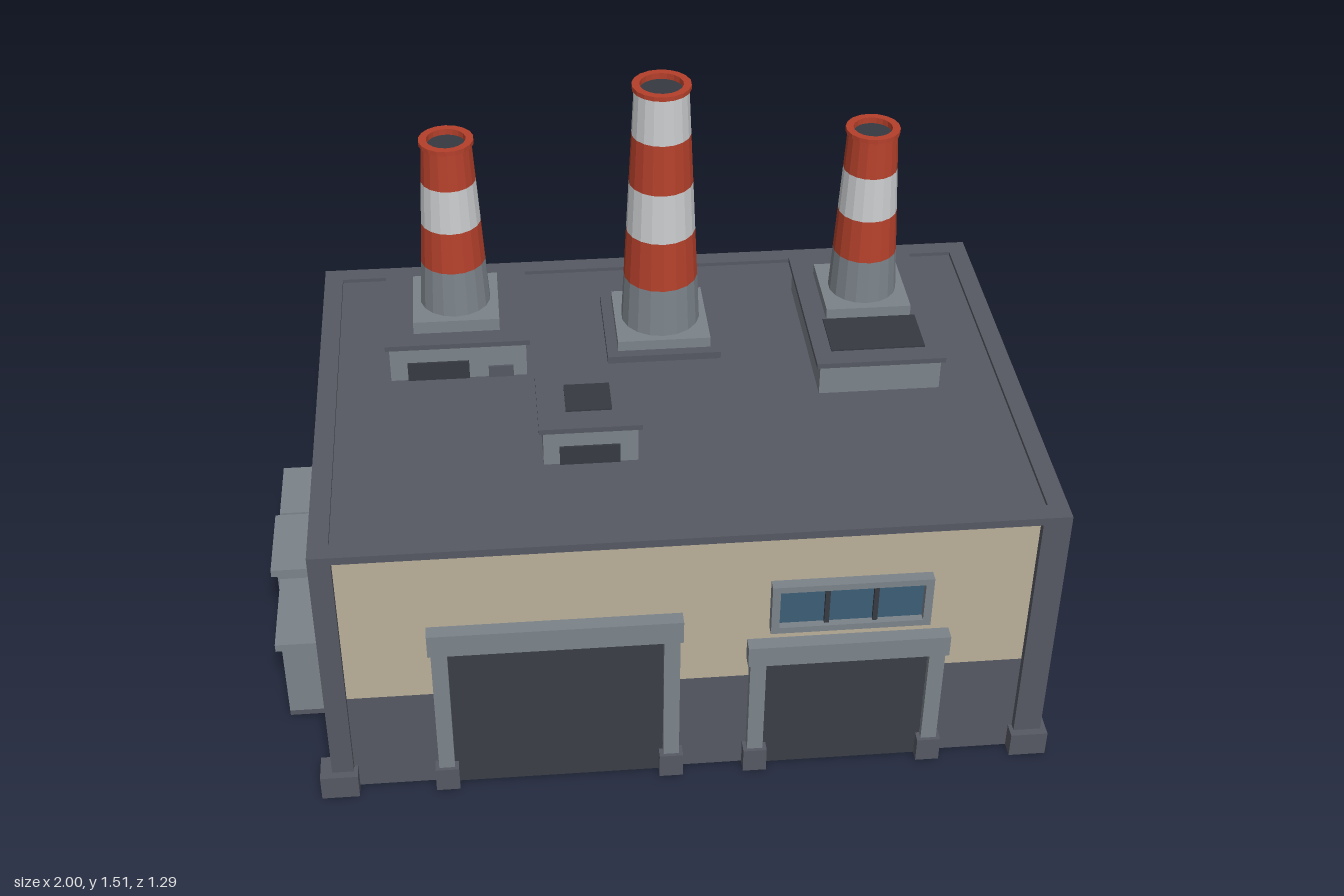
import * as THREE from 'three';

const mat = (name, color, extra = {}) => {
  const m = new THREE.MeshStandardMaterial({ color, ...extra });
  m.name = name;
  return m;
};

export function createModel() {
  const slate = mat('slate', 0x565963);
  const tan = mat('tan', 0xbbaf9a);
  const grey = mat('grey', 0x7b838a, { flatShading: true, side: THREE.DoubleSide });
  const charcoal = mat('charcoal', 0x363a41);
  const red = mat('red', 0xb4402b, { flatShading: true });
  const white = mat('white', 0xc9cbcd, { flatShading: true });
  const glass = mat('glass', 0x3c5d75);

  const root = new THREE.Group();
  root.name = 'factory';
  const group = (name) => {
    const g = new THREE.Group();
    g.name = name;
    root.add(g);
    return g;
  };
  const add = (parent, name, geo, m) => {
    const mesh = new THREE.Mesh(geo, m);
    mesh.name = name;
    parent.add(mesh);
    return mesh;
  };
  // Box given by its lower and upper limits on each axis
  const box = (parent, name, m, x0, x1, y0, y1, z0, z1) => {
    const mesh = add(parent, name, new THREE.BoxGeometry(x1 - x0, y1 - y0, z1 - z0), m);
    mesh.position.set((x0 + x1) / 2, (y0 + y1) / 2, (z0 + z1) / 2);
    return mesh;
  };

  // Walls in two colours
  const hall = group('hall');
  box(hall, 'lowerWall', slate, -0.815, 0.965, 0, 0.303, -0.605, 0.605);
  box(hall, 'upperWall', tan, -0.815, 0.965, 0.303, 0.757, -0.605, 0.605);

  // Roof with a shallow raised rim
  box(hall, 'roof', slate, -0.8, 0.95, 0.75, 0.766, -0.59, 0.59);
  for (const s of [-1, 1]) {
    const [z0, z1] = s > 0 ? [0.575, 0.625] : [-0.625, -0.575];
    box(hall, 'roofRim', slate, -0.835, 0.985, 0.755, 0.776, z0, z1);
  }
  box(hall, 'roofRim', slate, -0.835, -0.785, 0.755, 0.776, -0.575, 0.575);
  box(hall, 'roofRim', slate, 0.935, 0.985, 0.755, 0.776, -0.575, 0.575);

  // Pillars with footings
  const pillar = (x0, x1, f0, f1, s) => {
    const span = (a, b) => (s > 0 ? [a, b] : [-b, -a]);
    box(hall, 'pillar', slate, x0, x1, 0, 0.757, ...span(0.583, 0.625));
    box(hall, 'pillarFooting', slate, f0, f1, 0, 0.07, ...span(0.57, 0.645));
  };
  for (const s of [-1, 1]) {
    pillar(-0.835, -0.78, -0.865, -0.77, s);
    pillar(0.915, 0.985, 0.905, 1.0, s);
  }
  pillar(0.05, 0.105, 0.03, 0.125, -1);

  // Roller doors with slats and a frame
  const door = (x0, x1, top, head) => {
    const g = group('rollerDoor');
    box(g, 'doorPanel', charcoal, x0, x1, 0, top, 0.6, 0.608);
    const n = Math.round(top / 0.042), step = top / n;
    for (let i = 0; i < n; i++) {
      const slat = box(g, 'doorSlat', charcoal, x0, x1, i * step + 0.003, (i + 1) * step - 0.003, 0.607, 0.613);
      slat.rotation.x = -0.16;
    }
    box(g, 'doorHeader', grey, x0 - 0.047, x1 + 0.047, top, head, 0.6, 0.642);
    for (const [a, b] of [[x0 - 0.04, x0], [x1, x1 + 0.04]]) {
      box(g, 'doorPost', grey, a, b, 0, top, 0.6, 0.632);
      box(g, 'doorPostFooting', slate, a - 0.01, b + 0.01, 0, 0.07, 0.6, 0.641);
    }
  };
  door(-0.525, 0.005, 0.46, 0.525);
  door(0.26, 0.67, 0.365, 0.425);

  // Windows, built facing +z at the origin
  const windowUnit = (x, y, z, turn) => {
    const g = group('window');
    for (const s of [-1, 1]) {
      box(g, 'windowRail', grey, -0.198, 0.198, s * 0.065 - 0.009, s * 0.065 + 0.009, 0, 0.028);
      box(g, 'windowSide', grey, s * 0.188 - 0.01, s * 0.188 + 0.01, -0.056, 0.056, 0, 0.028);
      box(g, 'windowBar', charcoal, s * 0.06 - 0.006, s * 0.06 + 0.006, -0.056, 0.056, 0, 0.018);
    }
    box(g, 'windowGlass', glass, -0.178, 0.178, -0.056, 0.056, 0, 0.009);
    g.position.set(x, y, z);
    g.rotation.y = turn;
  };
  windowUnit(0.465, 0.537, 0.605, 0);
  windowUnit(0.965, 0.537, 0, Math.PI / 2);

  // Outdoor bins, open underneath
  const bin = (x0, z0, z1, top) => {
    const g = group('bin');
    const body = box(g, 'binBody', grey, x0 + 0.015, -0.815, 0.015, top - 0.02, z0 + 0.012, z1 - 0.012);
    const faces = Array.from(body.geometry.index.array);
    faces.splice(18, 6);
    body.geometry.setIndex(faces);
    body.geometry.clearGroups();
    box(g, 'binLid', grey, x0, -0.815, top - 0.022, top, z0, z1);
    for (const z of [z0 + 0.012, z1 - 0.024])
      box(g, 'binSkid', slate, x0 + 0.015, -0.815, 0, 0.016, z, z + 0.012);
  };
  bin(-0.99, -0.385, -0.18, 0.27);
  bin(-1.0, -0.16, 0.075, 0.28);
  bin(-0.975, 0.09, 0.35, 0.262);

  // Roof housings with overhanging covers
  const housing = (x0, x1, z0, z1, top) => {
    const g = group('roofHousing');
    box(g, 'housingBody', grey, x0 + 0.01, x1 - 0.01, 0.766, top - 0.014, z0 + 0.01, z1 - 0.01);
    box(g, 'housingCover', slate, x0, x1, top - 0.014, top, z0, z1);
    return g;
  };
  const leftUnit = housing(-0.655, -0.28, -0.445, -0.08, 0.88);
  box(leftUnit, 'vent', charcoal, -0.6, -0.44, 0.767, 0.82, -0.092, -0.084);
  box(leftUnit, 'smallVent', slate, -0.39, -0.325, 0.767, 0.8, -0.092, -0.084);
  const rightUnit = housing(0.45, 0.785, -0.445, 0.07, 0.865);
  box(rightUnit, 'hatch', charcoal, 0.495, 0.74, 0.862, 0.869, -0.13, 0.015);
  const smallUnit = housing(-0.275, -0.02, 0.065, 0.31, 0.88);
  box(smallUnit, 'vent', charcoal, -0.225, -0.075, 0.767, 0.82, 0.298, 0.306);
  box(smallUnit, 'hatch', charcoal, -0.205, -0.09, 0.877, 0.884, 0.13, 0.24);
  box(group('chimneyBase'), 'baseSlab', slate, -0.075, 0.225, 0.766, 0.786, -0.42, -0.12);

  // Striped tapering chimneys on square plinths
  const chimney = (x, z, foot, y0, r0, r1, half, levels, colours) => {
    const g = group('chimney');
    box(g, 'plinth', grey, x - half, x + half, foot, y0, z - half, z + half);
    const top = levels[levels.length - 1];
    const radius = (y) => r0 + (r1 - r0) * (y - y0) / (top - y0);
    const ys = [y0, ...levels];
    colours.forEach((m, i) => {
      const h = ys[i + 1] - ys[i];
      const geo = new THREE.CylinderGeometry(radius(ys[i + 1]), radius(ys[i]), h, 18, 1, true);
      add(g, 'chimneyBand', geo, m).position.set(x, ys[i] + h / 2, z);
    });
    // Rim ring and dark mouth
    const ri = r1 - 0.014, ro = r1 + 0.006;
    const rim = [[ri, -0.03], [ri, 0.004], [ro, 0.004], [ro, -0.008], [r1 - 0.002, -0.008]];
    const ring = new THREE.LatheGeometry(rim.map(([r, y]) => new THREE.Vector2(r, y)).reverse(), 18);
    add(g, 'chimneyRim', ring, red).position.set(x, top, z);
    const mouth = new THREE.CircleGeometry(ri, 18).rotateX(-Math.PI / 2);
    add(g, 'chimneyMouth', mouth, charcoal).position.set(x, top - 0.012, z);
  };
  chimney(-0.468, -0.247, 0.88, 0.915, 0.092, 0.064, 0.112, [1.04, 1.155, 1.275, 1.386], [grey, red, white, red]);
  chimney(0.077, -0.27, 0.786, 0.815, 0.105, 0.07, 0.123, [0.95, 1.09, 1.23, 1.37, 1.504], [grey, red, white, red, white]);
  chimney(0.617, -0.246, 0.865, 0.895, 0.09, 0.064, 0.112, [1.015, 1.135, 1.258, 1.369], [grey, red, white, red]);

  return root;
}
